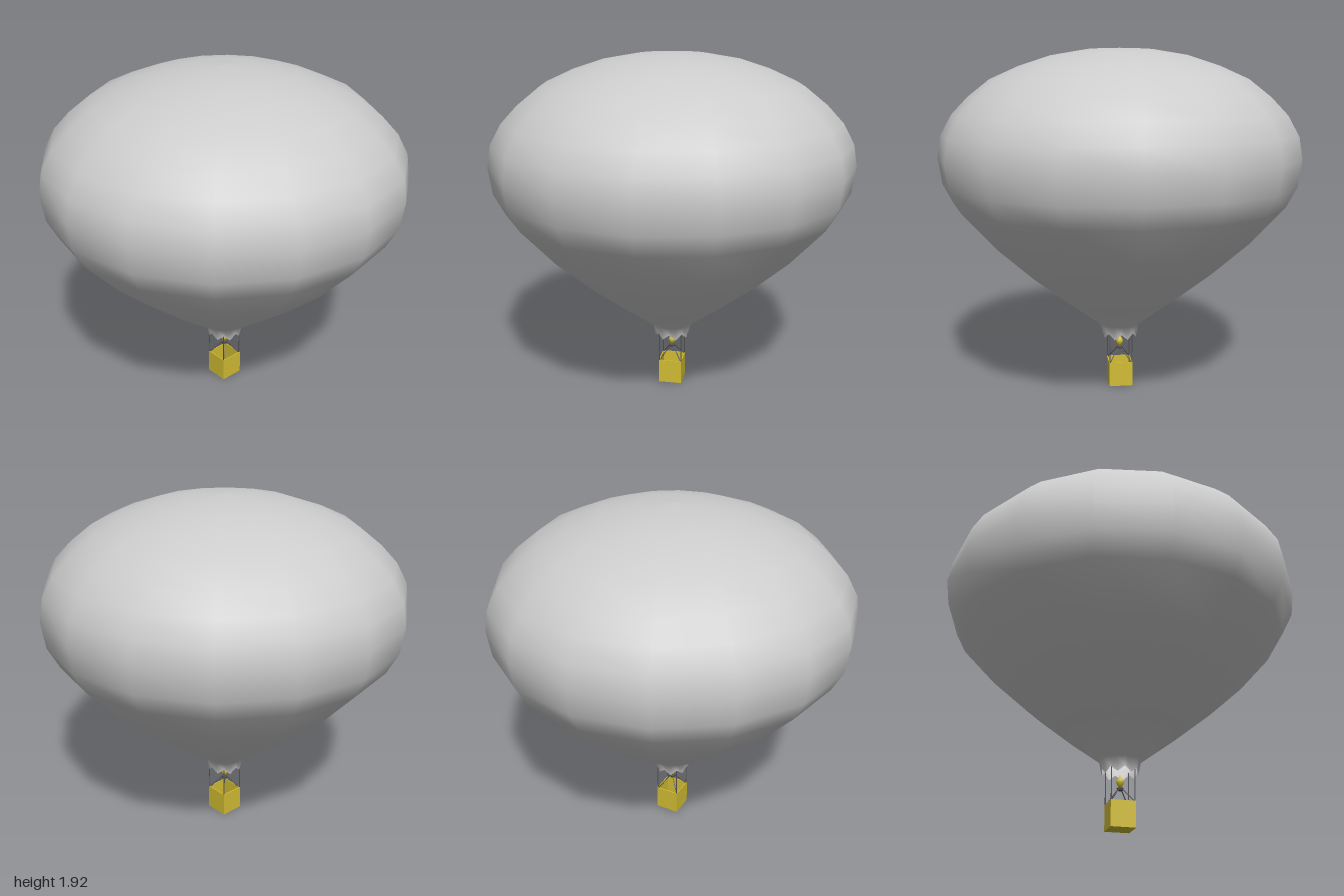
import * as THREE from 'three';

const fabric = new THREE.MeshStandardMaterial({ name: 'greyFabric', color: 0xcccccc, side: THREE.DoubleSide });
const yellow = new THREE.MeshStandardMaterial({ name: 'yellow', color: 0xd2bd34 });
const metal = new THREE.MeshStandardMaterial({ name: 'darkMetal', color: 0x55555a });

export function createModel() {
  const model = new THREE.Group();
  model.name = 'hotAirBalloon';

  const add = (name, geometry, material, x = 0, y = 0, z = 0) => {
    const mesh = new THREE.Mesh(geometry, material);
    mesh.name = name;
    mesh.position.set(x, y, z);
    model.add(mesh);
    return mesh;
  };

  // thin rod between two points
  const rod = (name, a, b, radius) => {
    const dir = b.clone().sub(a);
    const mesh = add(name, new THREE.CylinderGeometry(radius, radius, dir.length(), 6), metal);
    mesh.position.copy(a).add(b).multiplyScalar(0.5);
    mesh.quaternion.setFromUnitVectors(new THREE.Vector3(0, 1, 0), dir.normalize());
  };

  // sixteen-sided envelope, open at the mouth
  const profile = [
    [0.098, 0.285], [0.114, 0.365], [0.31, 0.51], [0.53, 0.685], [0.73, 0.865],
    [0.92, 1.075], [0.98, 1.19], [1, 1.335], [0.98, 1.455], [0.92, 1.565],
    [0.83, 1.66], [0.71, 1.755], [0.555, 1.825], [0.38, 1.883], [0.195, 1.915], [0, 1.925],
  ].map(([r, y]) => new THREE.Vector2(r, y));
  const envelope = new THREE.LatheGeometry(profile, 16);
  // raise every other vertex of the mouth to make a zigzag hem
  const pos = envelope.attributes.position;
  for (let i = 0; i <= 16; i += 2) pos.setY(i * profile.length, 0.316);
  add('envelope', envelope, fabric);

  // open basket
  const size = 0.135, height = 0.14, wall = 0.005;
  const off = (size - wall) / 2;
  add('basketFloor', new THREE.BoxGeometry(size, wall, size), yellow, 0, wall / 2, 0);
  for (const s of [-1, 1]) {
    add('basketSideWall', new THREE.BoxGeometry(wall, height, size), yellow, s * off, height / 2, 0);
    add('basketEndWall', new THREE.BoxGeometry(size, height, wall), yellow, 0, height / 2, s * off);
  }

  // corner uprights and struts carrying the burner
  for (const sx of [-1, 1]) {
    for (const sz of [-1, 1]) {
      const corner = new THREE.Vector3(sx * 0.064, 0.135, sz * 0.064);
      rod('upright', corner, new THREE.Vector3(sx * 0.064, 0.325, sz * 0.064), 0.003);
      rod('burnerStrut', corner, new THREE.Vector3(sx * 0.01, 0.213, sz * 0.01), 0.003);
    }
  }

  // burner and flame
  add('burner', new THREE.CylinderGeometry(0.02, 0.016, 0.012, 8), metal, 0, 0.213, 0);
  const flame = [[0, 0.219], [0.011, 0.227], [0.021, 0.247], [0.019, 0.26], [0.009, 0.277], [0, 0.29]]
    .map(([r, y]) => new THREE.Vector2(r, y));
  add('flame', new THREE.LatheGeometry(flame, 8), yellow);

  return model;
}
